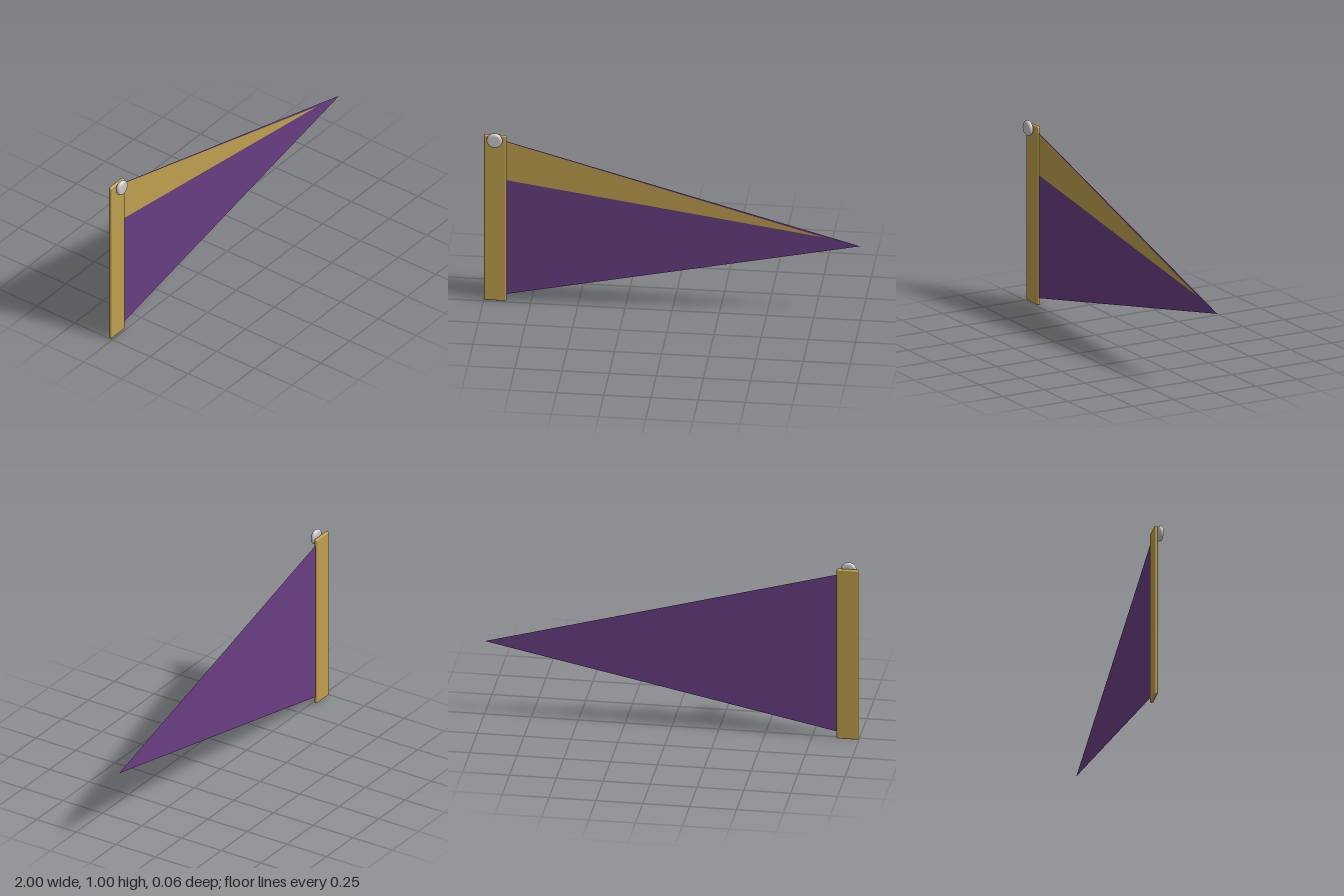
import * as THREE from 'three';
import { RoundedBoxGeometry } from 'three/addons/geometries/RoundedBoxGeometry.js';

export function createModel() {
  const model = new THREE.Group();
  model.name = 'pennant';
  const gold = new THREE.MeshStandardMaterial({ color: 0xc0a04e, side: THREE.DoubleSide });
  gold.name = 'gold';
  const purple = new THREE.MeshStandardMaterial({ color: 0x693e83, side: THREE.DoubleSide });
  purple.name = 'purple';
  const silver = new THREE.MeshStandardMaterial({ color: 0xcccccc });
  silver.name = 'silver';

  const add = (name, geometry, material, x, y, z) => {
    const mesh = new THREE.Mesh(geometry, material);
    mesh.name = name;
    mesh.position.set(x, y, z);
    model.add(mesh);
    return mesh;
  };
  const sheet = (...points) =>
    new THREE.ShapeGeometry(new THREE.Shape(points.map(([x, y]) => new THREE.Vector2(x, y))));

  // Header bar with softened edges
  add('headerBar', new RoundedBoxGeometry(0.12, 0.98, 0.02, 4, 0.008), gold, -0.94, 0.49, -0.0175);

  // Tapering cloth and the stripe on its front
  add('cloth', sheet([-0.88, 0.039], [0.995, 0.43], [-0.88, 0.945]), purple, 0, 0, -0.0175);
  add('clothStripe', sheet([-0.88, 0.715], [0.8, 0.473], [-0.88, 0.942]), gold, 0, 0, -0.0155);

  // Round pin with a fully rounded rim
  const radius = 0.042, half = 0.013;
  const profile = [new THREE.Vector2(0, -half)];
  for (let i = 0; i <= 10; i++) {
    const a = -Math.PI / 2 + (i / 10) * Math.PI;
    profile.push(new THREE.Vector2(radius - half + Math.cos(a) * half, Math.sin(a) * half));
  }
  profile.push(new THREE.Vector2(0, half));
  const pin = add('pin', new THREE.LatheGeometry(profile, 40), silver, -0.94, 0.963, 0.016);
  pin.rotation.x = Math.PI / 2;

  return model;
}
